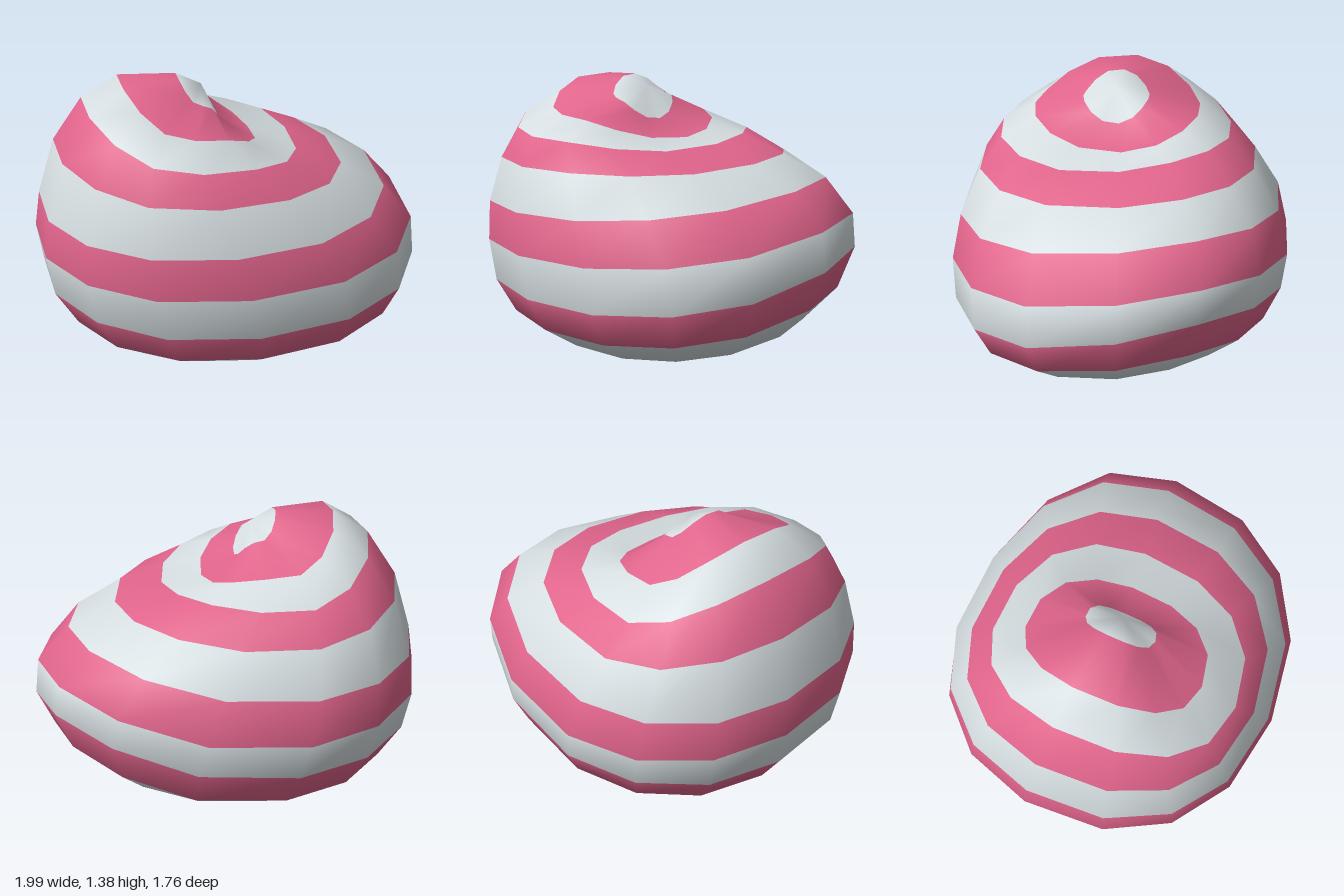
import * as THREE from 'three';

const SIDES = 15;

// Stripe boundaries from bottom to top. Each ring has its own centre, its
// reach to -x, +x, -z, +z, the height there, and a lift at the sagging side.
const RINGS = [
  { c: [0.0, 0.0], x: [-0.36, 0.43], z: [-0.4, 0.4], yx: [0.01, 0.03], yz: [0.015, 0.02], lift: 0 },
  { c: [0.02, 0.0], x: [-0.62, 0.75], z: [-0.62, 0.62], yx: [0.06, 0.09], yz: [0.07, 0.05], lift: 0.07 },
  { c: [0.0, 0.0], x: [-0.86, 0.92], z: [-0.79, 0.79], yx: [0.18, 0.22], yz: [0.18, 0.16], lift: 0.13 },
  { c: [-0.03, 0.0], x: [-0.97, 1.0], z: [-0.87, 0.87], yx: [0.37, 0.39], yz: [0.36, 0.32], lift: 0.17 },
  { c: [-0.08, 0.0], x: [-1.0, 0.975], z: [-0.89, 0.885], yx: [0.57, 0.6], yz: [0.54, 0.53], lift: 0.13 },
  { c: [-0.14, 0.01], x: [-0.97, 0.81], z: [-0.83, 0.86], yx: [0.76, 0.79], yz: [0.75, 0.73], lift: 0.1 },
  { c: [-0.2, 0.03], x: [-0.88, 0.57], z: [-0.69, 0.78], yx: [1.05, 0.93], yz: [0.94, 0.94], lift: 0.05 },
  { c: [-0.25, 0.05], x: [-0.73, 0.33], z: [-0.55, 0.69], yx: [1.27, 1.01], yz: [1.07, 1.08], lift: 0.05 },
  { c: [-0.25, 0.05], x: [-0.55, 0.125], z: [-0.38, 0.51], yx: [1.38, 1.06], yz: [1.18, 1.18], lift: 0 },
  { c: [-0.16, 0.05], x: [-0.26, -0.05], z: [-0.12, 0.23], yx: [1.38, 1.15], yz: [1.27, 1.26], lift: 0 },
];

// Point k of a ring: four joined, slightly squared ellipse quadrants
function ringPoint(r, k) {
  const a = ((-7 + (360 / SIDES) * k) * Math.PI) / 180;
  const cos = Math.cos(a), sin = Math.sin(a);
  const ix = cos > 0 ? 1 : 0, iz = sin > 0 ? 1 : 0;
  const bump = Math.max(0, Math.cos(a + 0.61)) ** 4;
  return [
    r.c[0] + (r.x[ix] - r.c[0]) * Math.abs(cos) ** 0.9,
    r.yx[ix] * cos * cos + r.yz[iz] * sin * sin + r.lift * bump,
    r.c[1] + (r.z[iz] - r.c[1]) * Math.abs(sin) ** 0.9,
  ];
}

export function createModel() {
  const pink = new THREE.MeshStandardMaterial({ color: 0xe0648b });
  pink.name = 'pink fabric';
  const white = new THREE.MeshStandardMaterial({ color: 0xd5dde0 });
  white.name = 'pale fabric';

  const points = [];
  for (const r of RINGS) for (let k = 0; k < SIDES; k++) points.push(...ringPoint(r, k));
  const bottom = RINGS.length * SIDES, tip = bottom + 1;
  points.push(0, 0, 0, -0.135, 1.325, 0.05);

  const index = [];
  const geometry = new THREE.BufferGeometry();

  // Underside, joined to the first pink band
  for (let k = 0; k < SIDES; k++) index.push(bottom, k, (k + 1) % SIDES);

  // Striped bands, one material group each
  let start = 0;
  for (let i = 0; i < RINGS.length - 1; i++) {
    for (let k = 0; k < SIDES; k++) {
      const n = (k + 1) % SIDES;
      const a = i * SIDES + k, b = i * SIDES + n;
      index.push(a, a + SIDES, b, b, a + SIDES, b + SIDES);
    }
    geometry.addGroup(start, index.length - start, i % 2);
    start = index.length;
  }

  // Pale cap on the peak
  const last = (RINGS.length - 1) * SIDES;
  for (let k = 0; k < SIDES; k++) index.push(last + k, tip, last + ((k + 1) % SIDES));
  geometry.addGroup(start, index.length - start, 1);

  geometry.setAttribute('position', new THREE.Float32BufferAttribute(points, 3));
  geometry.setIndex(index);
  geometry.computeVertexNormals();

  const bag = new THREE.Mesh(geometry, [pink, white]);
  bag.name = 'beanBag';
  const group = new THREE.Group();
  group.name = 'stripedBeanBag';
  group.add(bag);
  return group;
}
